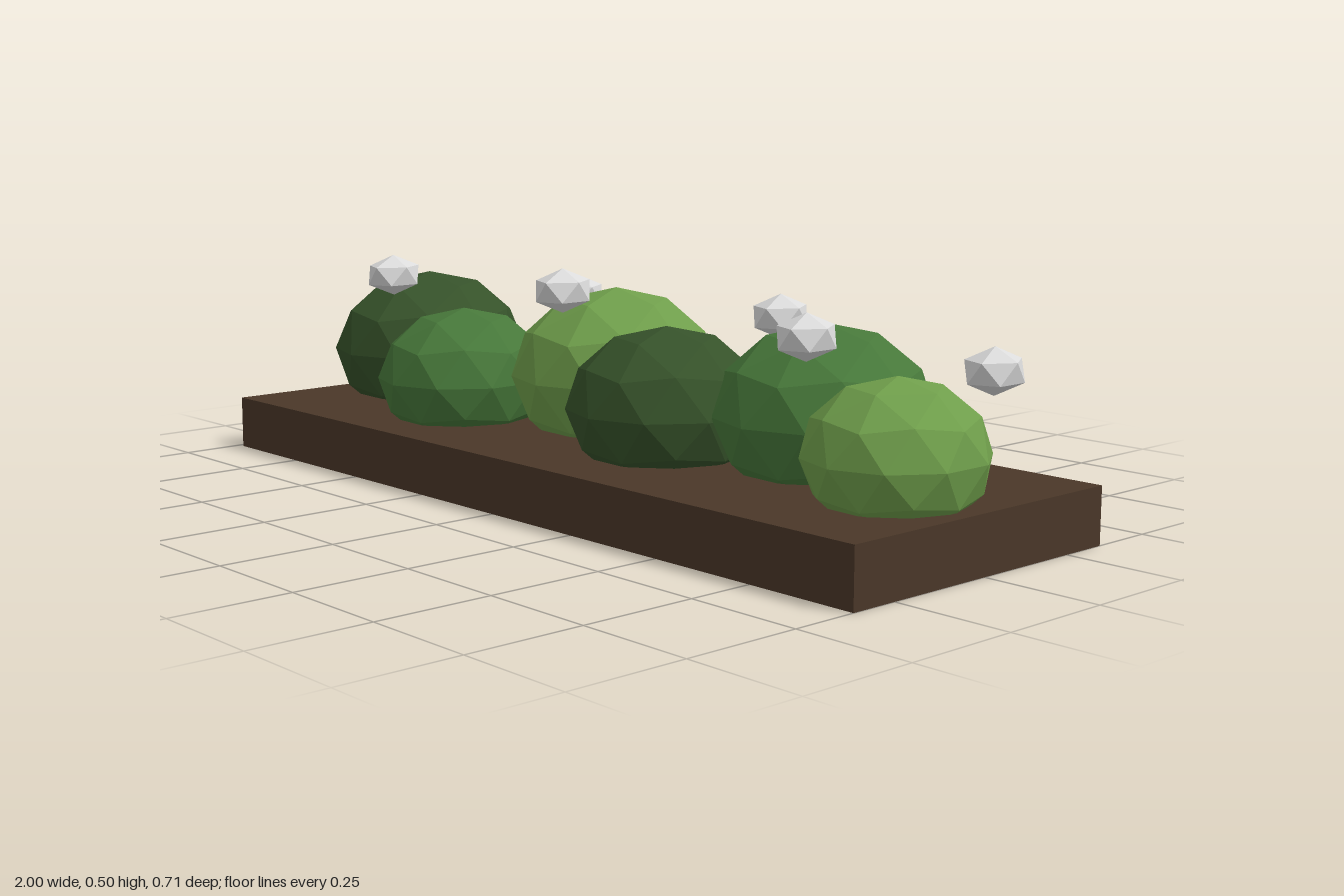
import * as THREE from 'three';

const material = (name, color) => {
  const m = new THREE.MeshStandardMaterial({ color, flatShading: true });
  m.name = name;
  return m;
};

// Icosphere standing on a vertex, with the first upper ring corner towards +x
function icosphere(detail) {
  const g = new THREE.IcosahedronGeometry(1, detail);
  g.rotateZ(Math.atan2(1, (1 + Math.sqrt(5)) / 2));
  g.rotateY(Math.PI);
  g.computeVertexNormals();
  return g;
}

export function createModel() {
  const group = new THREE.Group();
  group.name = 'flowerBed';

  const soil = material('soil brown', 0x4a3728);
  const dark = material('dark green', 0x36522a);
  const medium = material('medium green', 0x47783a);
  const light = material('light green', 0x6f9e4b);
  const white = material('blossom white', 0xdadada);

  const add = (name, geometry, mat, position, scale) => {
    const mesh = new THREE.Mesh(geometry, mat);
    mesh.name = name;
    mesh.position.set(...position);
    mesh.scale.set(...scale);
    group.add(mesh);
  };

  // Soil bed
  add('soilBed', new THREE.BoxGeometry(1.984, 0.12, 0.714), soil, [0.008, 0.06, 0], [1, 1, 1]);

  // Bushes: colour, centre, radii
  const bushShape = icosphere(1);
  [
    [dark, [-0.785, 0.228, -0.067], [0.227, 0.187, 0.238]],
    [medium, [-0.433, 0.211, 0.095], [0.192, 0.159, 0.202]],
    [light, [-0.111, 0.234, -0.087], [0.239, 0.197, 0.234]],
    [dark, [0.206, 0.218, 0.055], [0.207, 0.17, 0.215]],
    [medium, [0.526, 0.228, -0.08], [0.221, 0.187, 0.236]],
    [light, [0.827, 0.207, 0.05], [0.177, 0.15, 0.19]],
  ].forEach(([mat, p, r], i) => add(`bush${i + 1}`, bushShape, mat, p, r));

  // Small blossoms above the bushes
  const blossomShape = icosphere(0);
  [
    [-0.645, 0.432, 0.14],
    [-0.29, 0.396, -0.125],
    [0.006, 0.453, 0.167],
    [0.343, 0.405, -0.142],
    [0.66, 0.418, 0.119],
    [0.918, 0.359, -0.118],
  ].forEach((p, i) => add(`blossom${i + 1}`, blossomShape, white, p, [0.059, 0.047, 0.0705]));

  return group;
}
